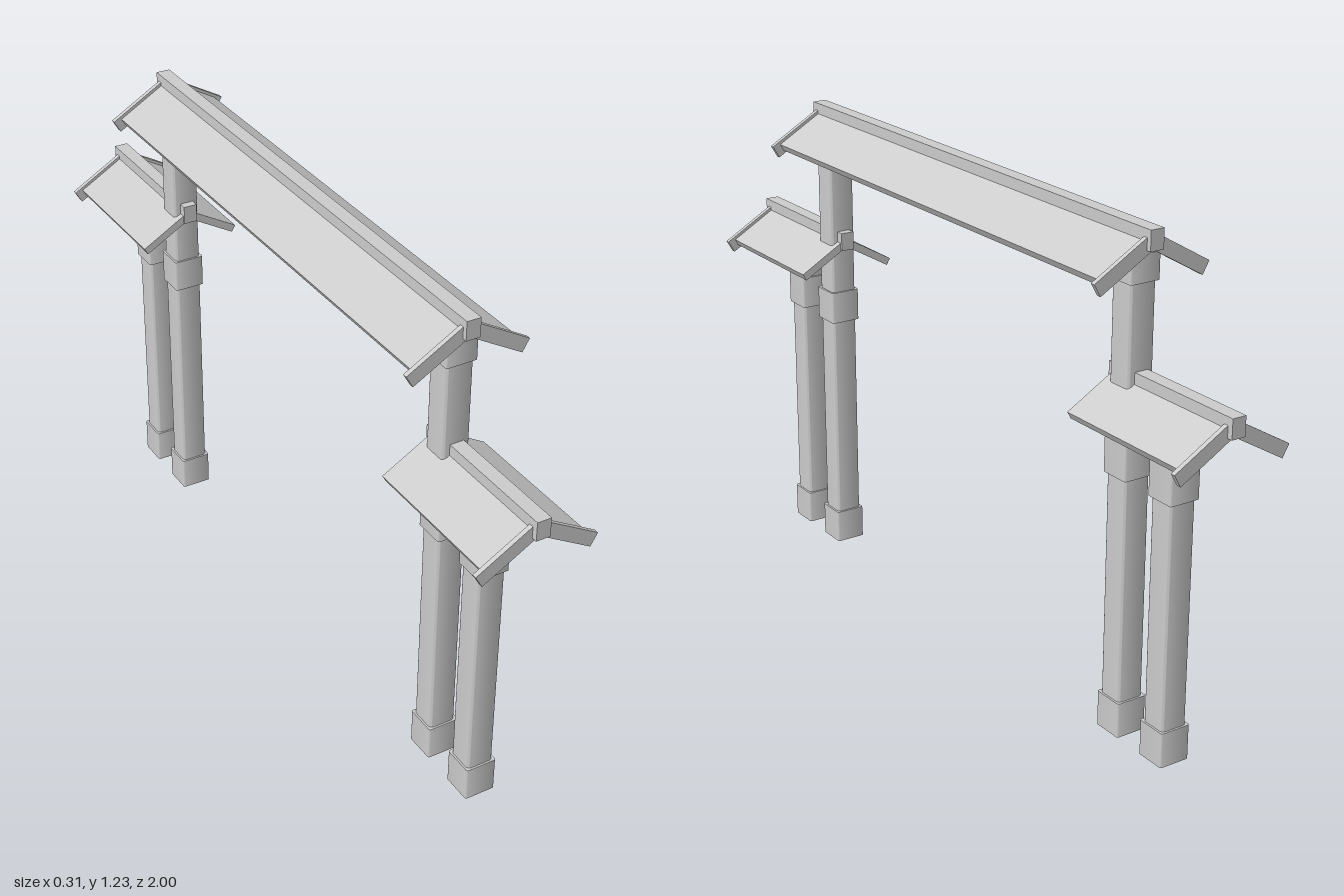
import * as THREE from 'three';
import { toCreasedNormals } from 'three/addons/utils/BufferGeometryUtils.js';

const material = new THREE.MeshStandardMaterial({ color: 0xcccccc });
const SLOPE = Math.PI / 6;

function addMesh(parent, name, geometry, x = 0, y = 0, z = 0) {
  const mesh = new THREE.Mesh(geometry, material);
  mesh.name = name;
  mesh.position.set(x, y, z);
  parent.add(mesh);
  return mesh;
}

// Upright square bar with rounded corners, base at y = 0
function roundedBar(half, radius, height) {
  const s = new THREE.Shape();
  const c = half - radius;
  [0, 1, 2, 3].forEach(i => {
    const a = i * Math.PI / 2;
    const sx = i === 0 || i === 3 ? c : -c;
    const sy = i < 2 ? c : -c;
    s.absarc(sx, sy, radius, a, a + Math.PI / 2, false);
  });
  s.closePath();
  const g = new THREE.ExtrudeGeometry(s, { depth: height, bevelEnabled: false, curveSegments: 4 });
  g.rotateX(-Math.PI / 2);
  return toCreasedNormals(g, 0.7);
}

// Post with a foot and a list of collars given as [bottom, top]
function post(name, z, height, collars) {
  const group = new THREE.Group();
  group.name = name;
  group.position.z = z;
  addMesh(group, 'shaft', roundedBar(0.035, 0.011, height));
  for (const [y0, y1] of collars) {
    addMesh(group, y0 === 0 ? 'foot' : 'collar', roundedBar(0.04, 0.005, y1 - y0), 0, y0);
  }
  return group;
}

// Gabled roof: ridge beam, two sloping panels and thin gable boards
function roof(name, top, [beam0, beam1], [panel0, panel1], boards) {
  const group = new THREE.Group();
  group.name = name;
  addMesh(group, 'ridgeBeam', new THREE.BoxGeometry(0.036, 0.048, beam1 - beam0), 0, top - 0.024, (beam0 + beam1) / 2);
  for (const side of [1, -1]) {
    // A slab running down the slope from the ridge line
    const slab = (partName, length, thick, z0, z1) => {
      const g = new THREE.BoxGeometry(length, thick, z1 - z0);
      g.translate(side * length / 2, 0, 0);
      const mesh = addMesh(group, partName, g, 0, top - 0.029, (z0 + z1) / 2);
      mesh.rotation.z = -side * SLOPE;
    };
    slab('roofPanel', 0.149, 0.02, panel0, panel1);
    for (const z of boards) slab('gableBoard', 0.169, 0.035, z - 0.006, z + 0.006);
  }
  return group;
}

export function createModel() {
  const model = new THREE.Group();
  model.name = 'gate';

  // Main roof spanning the two tall posts
  model.add(roof('mainRoof', 1.228, [-0.715, 0.715], [-0.695, 0.695], [-0.697, 0.697]));

  // Identical ends, the back one turned round
  for (const end of ['front', 'back']) {
    const group = new THREE.Group();
    group.name = end + 'End';
    if (end === 'back') group.rotation.y = Math.PI;
    const low = [[0, 0.088], [0.645, 0.73]];
    group.add(post('tallPost', 0.64, 1.18, [...low, [1.1, 1.165]]));
    group.add(post('shortPost', 0.8, 0.845, low));
    group.add(roof('lowerRoof', 0.898, [0.583, 1], [0.589, 0.978], [0.98]));
    model.add(group);
  }
  return model;
}
